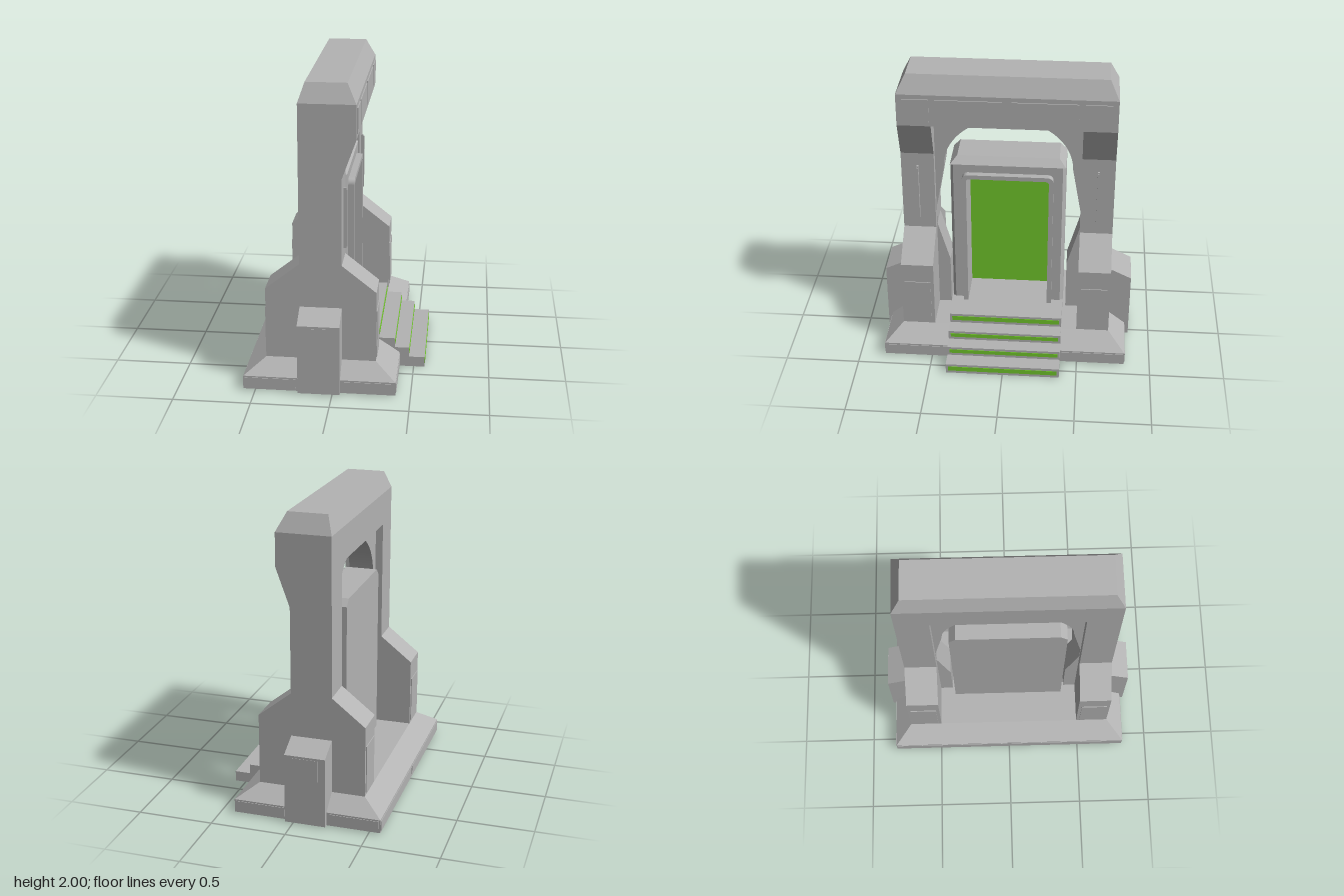
import * as THREE from 'three';

const grey = new THREE.MeshStandardMaterial({ color: 0xb3b3b3 });
grey.name = 'stoneGrey';
const green = new THREE.MeshStandardMaterial({ color: 0x74cc2c });
green.name = 'glowGreen';

export function createModel() {
  const model = new THREE.Group();
  model.name = 'gateway';

  const add = (name, geometry, material = grey) => {
    const mesh = new THREE.Mesh(geometry, material);
    mesh.name = name;
    model.add(mesh);
    return mesh;
  };

  // Axis-aligned box from its limits
  const box = (name, x0, x1, y0, y1, z0, z1, material) =>
    add(name, new THREE.BoxGeometry(x1 - x0, y1 - y0, z1 - z0)
      .translate((x0 + x1) / 2, (y0 + y1) / 2, (z0 + z1) / 2), material);

  // Block whose bottom and top are different rectangles [x0, x1, z0, z1]
  const taper = (name, y0, y1, bottom, top) => {
    const g = new THREE.BoxGeometry(1, 1, 1).toNonIndexed();
    const p = g.attributes.position;
    for (let i = 0; i < p.count; i++) {
      const r = p.getY(i) > 0 ? top : bottom;
      p.setXYZ(i, p.getX(i) > 0 ? r[1] : r[0], p.getY(i) > 0 ? y1 : y0, p.getZ(i) > 0 ? r[3] : r[2]);
    }
    g.computeVertexNormals();
    return add(name, g);
  };

  // Outline drawn in z and y, extruded along x
  const extrudeX = (shape, x0, x1) =>
    new THREE.ExtrudeGeometry(shape, { depth: x1 - x0, bevelEnabled: false, curveSegments: 28 })
      .rotateY(Math.PI / 2).translate(x0, 0, 0);

  const polygon = (points) => new THREE.Shape(points.map(([a, b]) => new THREE.Vector2(a, b)));

  const roundedRect = (path, w, y0, y1, r) => {
    path.moveTo(-w, y0);
    path.lineTo(w, y0);
    path.lineTo(w, y1 - r);
    path.absarc(w - r, y1 - r, r, 0, Math.PI / 2, false);
    path.lineTo(-w + r, y1);
    path.absarc(-w + r, y1 - r, r, Math.PI / 2, Math.PI, false);
    path.closePath();
    return path;
  };

  // Base slab with sloping shoulders
  box('baseSlab', -0.575, 0.405, 0.01, 0.1, -0.825, 0.825);
  taper('baseShoulder', 0.1, 0.19, [-0.575, 0.405, -0.825, 0.825], [-0.44, 0.27, -0.71, 0.71]);

  // Pillars, buttresses and their panels, on both sides
  const pillar = polygon([
    [-0.44, 0.15], [0.27, 0.15], [0.27, 0.665], [0.05, 0.84], [0.05, 1.41], [0.14, 1.66],
    [-0.22, 1.66], [-0.22, 0.84], [-0.44, 0.665],
  ]);
  for (const s of [1, -1]) {
    const side = s > 0 ? 'front' : 'back';
    const mirrored = (a, b) => (s > 0 ? [a, b] : [-b, -a]);
    const legZ = mirrored(0.49, 0.71);
    add(side + 'Pillar', new THREE.ExtrudeGeometry(pillar, { depth: 0.22, bevelEnabled: false })
      .translate(0, 0, legZ[0]));

    const buttZ = mirrored(0.65, 0.855);
    const buttTop = mirrored(0.65, 0.71);
    box(side + 'Buttress', -0.22, 0.05, 0.01, 0.48, ...buttZ);
    taper(side + 'ButtressTop', 0.48, 0.55, [-0.22, 0.05, ...buttZ], [-0.22, 0.05, ...buttTop]);
    box(side + 'ButtressPanel', -0.17, 0, 0.05, 0.465, ...mirrored(0.85, 0.857));

    const panelZ = mirrored(0.512, 0.69);
    box(side + 'LegPanel', 0.268, 0.276, 0.21, 0.53, ...panelZ);
    box(side + 'LegRearPanel', -0.446, -0.438, 0.21, 0.53, ...panelZ);
    box(side + 'PillarStrip', 0.045, 0.075, 0.93, 1.31, ...mirrored(0.594, 0.606));
    box(side + 'PillarStripCore', 0.045, 0.068, 0.92, 1.32, ...mirrored(0.594, 0.606));

    // Raised panels around the base and along the beam
    const endZ = mirrored(0.822, 0.829);
    box(side + 'BaseEndPanel', -0.565, -0.235, 0.025, 0.09, ...endZ);
    box(side + 'BaseEndPanel', 0.06, 0.395, 0.025, 0.09, ...endZ);
    box(side + 'BaseStairPanel', 0.402, 0.409, 0.025, 0.09, ...mirrored(0.39, 0.815));
    box(side + 'BaseRearPanel', -0.579, -0.572, 0.025, 0.09, ...mirrored(0.015, 0.815));
    box(side + 'BeamEndPanel', 0.138, 0.147, 1.69, 1.85, ...mirrored(0.5, 0.67));
    box(side + 'BeamPanel', 0.138, 0.147, 1.69, 1.85, ...mirrored(0.03, 0.46));
  }

  // Top beam with chamfered crown
  box('beam', -0.22, 0.14, 1.66, 1.88, -0.71, 0.71);
  taper('beamCrown', 1.88, 2, [-0.22, 0.14, -0.71, 0.71], [-0.18, 0.08, -0.65, 0.65]);

  // Arched lining between the pillars
  const arch = polygon([
    [0.405, 0.17], [0.5, 0.17], [0.5, 1.67], [-0.5, 1.67], [-0.5, 0.17], [-0.405, 0.17],
    [-0.405, 0.55], [-0.488, 0.84], [-0.488, 0.98], [-0.43, 1.3],
  ]);
  arch.absellipse(0, 1.3, 0.43, 0.36, Math.PI, 0, true);
  arch.lineTo(0.488, 0.98);
  arch.lineTo(0.488, 0.84);
  arch.lineTo(0.405, 0.55);
  add('archLining', extrudeX(arch, -0.17, 0));

  // Door housing: hollow body, bevelled front, back wall and cap
  const doorShape = () => {
    const shape = polygon([[-0.385, 0.17], [0.385, 0.17], [0.385, 1.335], [-0.385, 1.335]]);
    shape.holes.push(roundedRect(new THREE.Path(), 0.275, 0.265, 1.25, 0.02));
    return shape;
  };
  add('doorBody', extrudeX(doorShape(), -0.19, 0.02));
  const bevel = extrudeX(doorShape(), 0.02, 0.05);
  const p = bevel.attributes.position;
  for (let i = 0; i < p.count; i++) {
    if (p.getX(i) > 0.04 && Math.abs(p.getZ(i)) > 0.38) p.setZ(i, Math.sign(p.getZ(i)) * 0.365);
  }
  bevel.computeVertexNormals();
  add('doorFront', bevel);
  box('doorBack', -0.22, -0.19, 0.17, 1.335, -0.385, 0.385);
  taper('doorCap', 1.335, 1.38, [-0.22, 0.05, -0.385, 0.385], [-0.22, 0.0, -0.34, 0.34]);

  // Raised rim around the opening
  const rim = roundedRect(new THREE.Shape(), 0.305, 0.24, 1.28, 0.04);
  rim.holes.push(roundedRect(new THREE.Path(), 0.275, 0.265, 1.25, 0.02));
  add('doorRim', extrudeX(rim, 0.05, 0.092));

  // Glowing panel at the back of the recess
  box('portalPanel', -0.19, -0.182, 0.265, 1.25, -0.275, 0.275, green);

  // Steps with glowing strips on the risers
  const steps = [[0.27, 0.27], [0.375, 0.2], [0.47, 0.135], [0.575, 0.07]];
  steps.forEach(([x, y], i) => {
    const y0 = i < 3 ? steps[i + 1][1] : 0;
    box('step', 0.04, x - 0.003, y0, y, -0.385, 0.385);
    box('stepLight', x - 0.005, x, y0 + 0.02, y - 0.017, -0.37, 0.37, green);
  });

  return model;
}
